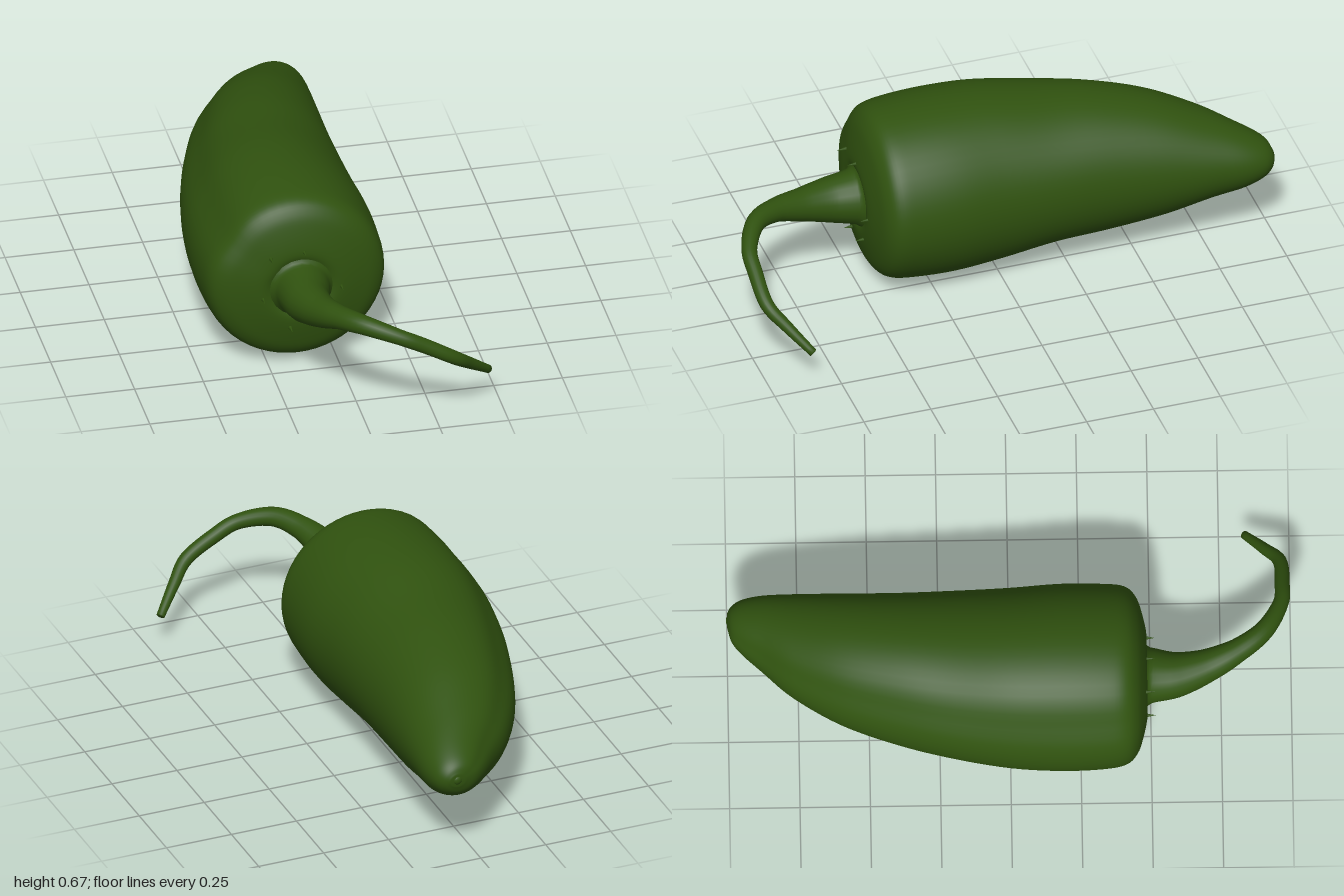
import * as THREE from 'three';

const green = new THREE.MeshStandardMaterial({ color: 0x30520f });
green.name = 'pepper green';

// Smooth closed skin over a list of equal rings, capped by a pole at each end.
function loft(rings, name) {
  const n = rings[0].length, pos = [], idx = [];
  rings.forEach(r => r.forEach(p => pos.push(p.x, p.y, p.z)));
  for (let i = 0; i < rings.length - 1; i++) {
    for (let j = 0; j < n; j++) {
      const k = (j + 1) % n, a = i * n + j, b = i * n + k;
      idx.push(a, b, a + n, b, b + n, a + n);
    }
  }
  const pole = ring => {
    const c = new THREE.Vector3();
    ring.forEach(p => c.addScaledVector(p, 1 / n));
    pos.push(c.x, c.y, c.z);
    return pos.length / 3 - 1;
  };
  const s = pole(rings[0]), e = pole(rings[rings.length - 1]), last = (rings.length - 1) * n;
  for (let j = 0; j < n; j++) {
    const k = (j + 1) % n;
    idx.push(s, k, j, e, last + j, last + k);
  }
  const g = new THREE.BufferGeometry();
  g.setAttribute('position', new THREE.Float32BufferAttribute(pos, 3));
  g.setIndex(idx);
  g.computeVertexNormals();
  const mesh = new THREE.Mesh(g, green);
  mesh.name = name;
  return mesh;
}

// Pepper body: z, min x, max x, min y, max y of each section.
function makeBody() {
  const sections = [
    [-1.0, 0.06, 0.115, 0.315, 0.36],
    [-0.985, 0.01, 0.14, 0.28, 0.39],
    [-0.95, -0.035, 0.162, 0.25, 0.418],
    [-0.88, -0.1, 0.175, 0.215, 0.455],
    [-0.77, -0.2, 0.175, 0.175, 0.505],
    [-0.6, -0.3, 0.17, 0.11, 0.57],
    [-0.4, -0.375, 0.165, 0.068, 0.615],
    [-0.2, -0.43, 0.168, 0.048, 0.64],
    [0.0, -0.465, 0.175, 0.015, 0.668],
    [0.18, -0.477, 0.188, 0.003, 0.676],
    [0.33, -0.473, 0.186, 0.01, 0.67],
    [0.41, -0.458, 0.176, 0.027, 0.655],
    [0.45, -0.42, 0.14, 0.065, 0.615],
    [0.472, -0.36, 0.08, 0.125, 0.555],
    [0.487, -0.285, 0.005, 0.2, 0.475],
    [0.478, -0.24, -0.04, 0.24, 0.435],
  ];
  const curve = f => new THREE.CatmullRomCurve3(sections.map(f), false, 'catmullrom', 0.5);
  const low = curve(s => new THREE.Vector3(s[1], s[3], s[0]));
  const high = curve(s => new THREE.Vector3(s[2], s[4], s[0]));
  const rings = [], steps = 75, sides = 56;
  for (let i = 0; i <= steps; i++) {
    const a = low.getPoint(i / steps), b = high.getPoint(i / steps);
    const ring = [];
    for (let j = 0; j < sides; j++) {
      const t = j / sides * Math.PI * 2;
      // shallow hollow along the upper side and a faint lumpiness
      const dent = 1 - 0.045 * Math.exp(-(((t - 2.53) / 0.25) ** 2))
        - 0.012 * Math.sin(t) ** 2 * Math.cos(t) ** 2 * (1 + Math.sin(a.z * 7 + t * 2));
      ring.push(new THREE.Vector3(
        (a.x + b.x) / 2 + (b.x - a.x) / 2 * Math.cos(t) * dent,
        (a.y + b.y) / 2 + (b.y - a.y) / 2 * Math.sin(t) * dent,
        a.z));
    }
    rings.push(ring);
  }
  return loft(rings, 'body');
}

// Hooked stem: x, y, z, radius along its path.
function makeStem() {
  const points = [
    [-0.14, 0.335, 0.465, 0.135],
    [-0.14, 0.335, 0.5, 0.1],
    [-0.14, 0.34, 0.59, 0.082],
    [-0.115, 0.36, 0.7, 0.06],
    [-0.07, 0.39, 0.81, 0.043],
    [0.0, 0.402, 0.905, 0.035],
    [0.11, 0.375, 0.965, 0.028],
    [0.2, 0.332, 0.972, 0.027],
    [0.31, 0.266, 0.965, 0.025],
    [0.38, 0.204, 0.912, 0.021],
    [0.46, 0.13, 0.842, 0.015],
  ];
  const path = new THREE.CatmullRomCurve3(points.map(p => new THREE.Vector3(p[0], p[1], p[2])), false, 'catmullrom', 0.5);
  const steps = 60, sides = 20, rings = [];
  let side = new THREE.Vector3(1, 0, 0);
  for (let i = 0; i <= steps; i++) {
    const t = i / steps, u = t * (points.length - 1), k = Math.min(Math.floor(u), points.length - 2);
    const radius = THREE.MathUtils.lerp(points[k][3], points[k + 1][3], u - k);
    const c = path.getPoint(t), dir = path.getTangent(t);
    side = side.clone().addScaledVector(dir, -side.dot(dir)).normalize();
    const up = dir.clone().cross(side);
    rings.push(Array.from({ length: sides }, (_, j) => {
      const a = j / sides * Math.PI * 2;
      return c.clone().addScaledVector(side, Math.cos(a) * radius).addScaledVector(up, Math.sin(a) * radius);
    }));
  }
  return loft(rings, 'stem');
}

export function createModel() {
  const group = new THREE.Group();
  group.name = 'pepper';
  group.add(makeBody(), makeStem());

  // Tiny thorns around the stem.
  const thorn = new THREE.ConeGeometry(0.008, 0.04, 7).rotateX(Math.PI / 2);
  [[-0.25, 0.465], [-0.13, 0.48], [-0.28, 0.305], [0.005, 0.325], [-0.05, 0.205], [-0.18, 0.175]].forEach(([x, y]) => {
    const m = new THREE.Mesh(thorn, green);
    m.name = 'thorn';
    m.position.set(x, y, 0.497);
    group.add(m);
  });

  // Small nub at the tip.
  const nub = new THREE.Mesh(new THREE.SphereGeometry(0.016, 14, 10), green);
  nub.name = 'tipNub';
  nub.scale.z = 0.5;
  nub.position.set(0.088, 0.338, -0.997);
  group.add(nub);
  return group;
}
